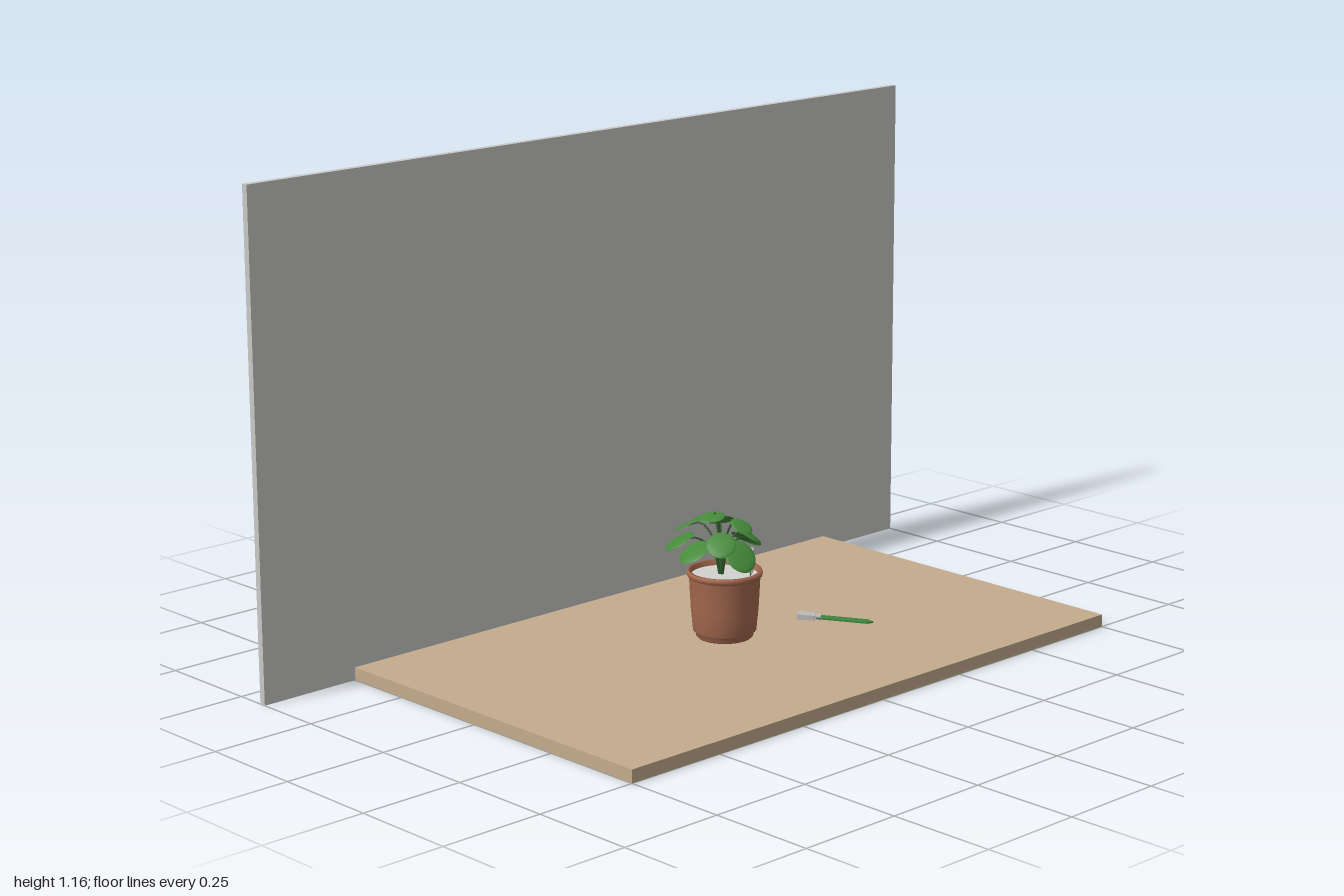
import * as THREE from 'three';

const mat = (name, color, side = THREE.FrontSide) => {
  const m = new THREE.MeshStandardMaterial({ color, side });
  m.name = name;
  return m;
};

export function createModel() {
  const root = new THREE.Group();
  root.name = 'plantDisplay';
  const wood = mat('wood', 0xc4ab8c);
  const wallGrey = mat('wallGrey', 0xc9c9c7);
  const clay = mat('terracotta', 0xa5694f, THREE.DoubleSide);
  const soilPale = mat('palePebbles', 0xd2d2ce);
  const leafGreen = mat('leafGreen', 0x468a3a, THREE.DoubleSide);
  const stemGreen = mat('stemGreen', 0x2f5f2c);
  const boardGreen = mat('probeGreen', 0x3f8440);
  const metal = mat('probeGrey', 0xbcbcbc);

  const add = (parent, name, geo, m, x = 0, y = 0, z = 0) => {
    const mesh = new THREE.Mesh(geo, m);
    mesh.name = name;
    mesh.position.set(x, y, z);
    parent.add(mesh);
    return mesh;
  };

  // Table top and back wall
  add(root, 'tableTop', new THREE.BoxGeometry(1.5, 0.03, 1), wood, 0, 0.015, 0);
  add(root, 'backWall', new THREE.BoxGeometry(2, 1.156, 0.016), wallGrey, 0, 0.578, -0.422);

  // Pot with stepped foot and rolled rim
  const plant = new THREE.Group();
  plant.name = 'pottedPlant';
  root.add(plant);
  const profile = [[0, 0.031], [0.062, 0.031], [0.066, 0.035], [0.067, 0.046], [0.073, 0.048],
    [0.078, 0.1], [0.082, 0.174], [0.086, 0.178], [0.088, 0.184], [0.086, 0.19],
    [0.079, 0.19], [0.077, 0.17]];
  const potGeo = new THREE.LatheGeometry(profile.map(p => new THREE.Vector2(...p)), 40);
  add(plant, 'pot', potGeo, clay);
  const soil = add(plant, 'pottingPebbles', new THREE.CircleGeometry(0.078, 32), soilPale, 0, 0.178, 0);
  soil.rotation.x = -Math.PI / 2;

  // Domed round leaf, drawn to a slight point at its outer end (+z)
  const leafGeo = new THREE.SphereGeometry(1, 20, 5, 0, Math.PI * 2, 0, Math.PI / 2);
  const p = leafGeo.attributes.position;
  for (let i = 0; i < p.count; i++) {
    const x = p.getX(i), z = p.getZ(i);
    const point = Math.max(0, z);
    p.setXYZ(i, x * (1 - 0.12 * point * point), p.getY(i) * 0.16, z * 1.08);
  }
  leafGeo.computeVertexNormals();

  // Each leaf: x, y, z, radius, droop
  const leaves = [
    [-0.04, 0.322, 0.0, 0.029, 0.15],
    [0.005, 0.304, -0.06, 0.034, 0.3],
    [-0.03, 0.285, -0.088, 0.035, 0.5],
    [0.058, 0.28, -0.08, 0.037, 0.5],
    [0.09, 0.24, -0.02, 0.037, 0.6],
    [-0.077, 0.258, -0.07, 0.035, 0.5],
    [-0.077, 0.242, -0.02, 0.036, 0.55],
    [-0.055, 0.268, 0.045, 0.034, 0.65],
    [-0.015, 0.238, 0.066, 0.039, 0.85],
    [0.05, 0.268, 0.025, 0.034, 0.6],
    [0.005, 0.302, 0.05, 0.026, 0.5],
  ];
  leaves.forEach(([x, y, z, r, droop], i) => {
    const leaf = add(plant, 'leaf' + (i + 1), leafGeo, leafGreen, x, y, z);
    leaf.scale.setScalar(r);
    leaf.rotation.set(droop, Math.atan2(x, z + 0.01), 0, 'YXZ');
    const stalk = new THREE.CatmullRomCurve3([
      new THREE.Vector3(x * 0.05, 0.176, z * 0.05 - 0.01),
      new THREE.Vector3(x * 0.2, 0.19 + (y - 0.19) * 0.65, z * 0.2 - 0.008),
      new THREE.Vector3(x * 0.62, y + 0.008, z * 0.62 - 0.003),
      new THREE.Vector3(x, y, z),
    ]);
    add(plant, 'stalk' + (i + 1), new THREE.TubeGeometry(stalk, 12, 0.0022, 6), stemGreen);
  });
  add(plant, 'mainStem', new THREE.CylinderGeometry(0.004, 0.006, 0.045, 10), stemGreen, 0, 0.198, -0.012);

  // Moisture probe along +z: grey head, then a flat blade with a pointed tip
  const makeProbe = (name) => {
    const g = new THREE.Group();
    g.name = name;
    add(g, 'probeHead', new THREE.BoxGeometry(0.028, 0.012, 0.042), metal, 0, 0, 0.021);
    add(g, 'probeCollar', new THREE.BoxGeometry(0.022, 0.009, 0.014), metal, 0, 0, 0.048);
    const s = new THREE.Shape();
    s.moveTo(-0.013, 0.045);
    s.lineTo(0.013, 0.045);
    s.lineTo(0.013, 0.165);
    s.lineTo(0, 0.178);
    s.lineTo(-0.013, 0.165);
    const geo = new THREE.ExtrudeGeometry(s, { depth: 0.003, bevelEnabled: false });
    geo.rotateX(Math.PI / 2);
    add(g, 'probeBlade', geo, boardGreen, 0, 0.0015, 0);
    root.add(g);
    return g;
  };
  // One probe lies on the table
  const loose = makeProbe('looseProbe');
  loose.position.set(0.205, 0.043, 0.033);
  loose.rotation.set(0.05, Math.atan2(0.105, 0.138), 0, 'YXZ');
  // The other stands in the pot, blade down
  const planted = makeProbe('plantedProbe');
  planted.position.set(0.045, 0.238, 0.04);
  planted.rotation.set(Math.PI / 2, 0.7, 0, 'YXZ');

  return root;
}
